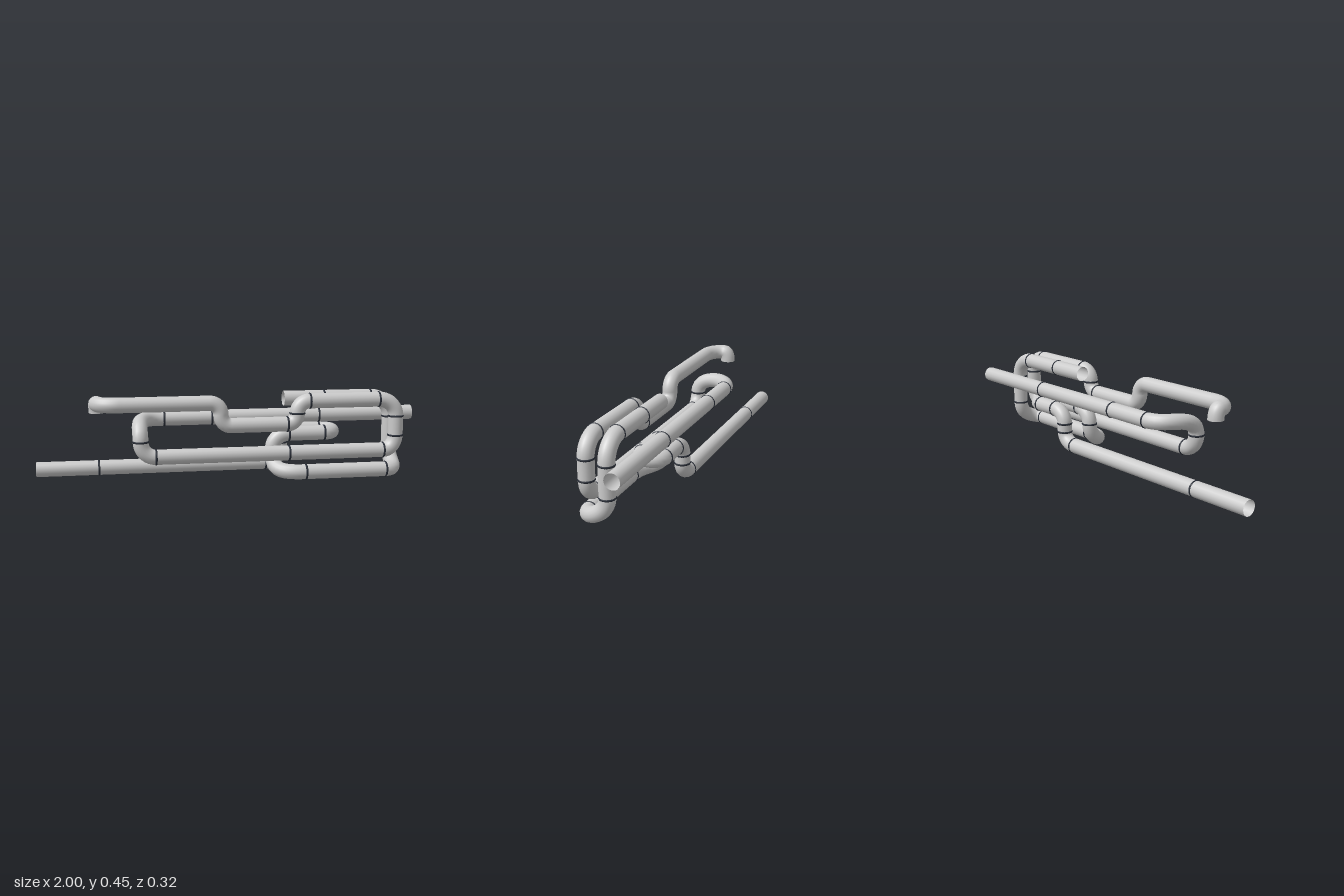
import * as THREE from 'three';

const R = 0.039;
const V = (p) => new THREE.Vector3(...p);

export function createModel() {
  const group = new THREE.Group();
  const pipeMat = new THREE.MeshStandardMaterial({ color: 0xcccccc, side: THREE.DoubleSide });
  const ringMat = new THREE.MeshStandardMaterial({ color: 0x2b303a });
  const ringGeo = new THREE.TorusGeometry(0.036, 0.006, 6, 20);

  // Joint ring around a pipe, facing along a direction
  function ring(parent, p, dir) {
    const m = new THREE.Mesh(ringGeo, ringMat);
    m.name = 'jointRing';
    m.position.copy(p);
    m.quaternion.setFromUnitVectors(new THREE.Vector3(0, 0, 1), dir.clone().normalize());
    parent.add(m);
  }

  function tube(parent, name, curve, segments) {
    const m = new THREE.Mesh(new THREE.TubeGeometry(curve, segments, R, 16, false), pipeMat);
    m.name = name;
    parent.add(m);
  }

  // A run is a chain of steps: { to } is straight, { to, corner } a quarter bend,
  // { to, c1, c2 } a free bend. ring: true puts a joint ring at the end of the step.
  function run(name, start, steps) {
    const g = new THREE.Group();
    g.name = name;
    let from = V(start);
    for (const s of steps) {
      const to = V(s.to);
      let curve;
      if (s.corner) {
        const c = V(s.corner);
        curve = new THREE.CubicBezierCurve3(from, from.clone().lerp(c, 0.56), to.clone().lerp(c, 0.56), to);
      } else if (s.c1) {
        curve = new THREE.CubicBezierCurve3(from, V(s.c1), V(s.c2), to);
      } else {
        curve = new THREE.LineCurve3(from, to);
      }
      const bend = s.corner || s.c1;
      tube(g, bend ? 'pipeBend' : 'straightPipe', curve, bend ? 16 : 1);
      if (s.ring) ring(g, to, curve.getTangent(1));
      from = to;
    }
    group.add(g);
  }

  // Front run: back pipe, around the left end, through the front loop, up to the spout
  const zb = -0.104, zf = 0.1, xr = 0.846, xl = -0.476;
  run('frontPipeRun', [1, 0.302, zb], [
    { to: [0.485, 0.302, zb], ring: true },
    { to: [-0.09, 0.302, zb], ring: true },
    { to: [-0.34, 0.302, zb], ring: true },
    { to: [xl, 0.22, zf], c1: [-0.5, 0.302, zb], c2: [xl, 0.33, zf], ring: true },
    { to: [-0.4, 0.14, zf], corner: [xl, 0.14, zf], ring: true },
    { to: [0.28, 0.14, zf], ring: true },
    { to: [0.78, 0.14, zf], ring: true },
    { to: [xr, 0.217, zf], corner: [xr, 0.14, zf], ring: true },
    { to: [xr, 0.318, zf], ring: true },
    { to: [0.75, 0.406, zf], corner: [xr, 0.406, zf], ring: true },
    { to: [0.386, 0.406, zf], ring: true },
    { to: [0.322, 0.345, zf], corner: [0.322, 0.406, zf], ring: true },
    { to: [0.27, 0.29, zf], corner: [0.322, 0.29, zf], ring: true },
    { to: [-0.02, 0.29, zf] },
    { to: [-0.072, 0.348, zf], corner: [-0.072, 0.29, zf] },
    { to: [-0.13, 0.406, zf], corner: [-0.072, 0.406, zf] },
    { to: [-0.58, 0.406, zf] },
    { to: [-0.688, 0.406, 0.02], corner: [-0.688, 0.406, zf] },
    { to: [-0.688, 0.357, 0], corner: [-0.688, 0.406, 0] },
  ]);

  // Rear run: middle loop, down and forward, back through the U-turn to the low pipe
  const zr = -0.117, zl = 0.12, xa = 0.215, xd = 0.28;
  run('rearPipeRun', [0.27, 0.408, 0], [
    { to: [0.485, 0.408, 0], ring: true },
    { to: [0.735, 0.408, 0], ring: true },
    { to: [xr, 0.302, 0], corner: [xr, 0.408, 0], ring: true },
    { to: [xr, 0.147, 0], ring: true },
    { to: [0.79, 0.042, zl], c1: [xr, 0.05, 0], c2: [0.87, 0.042, zl], ring: true },
    { to: [0.365, 0.042, zl], ring: true },
    { to: [xa, 0.147, 0], c1: [0.2, 0.042, zl], c2: [xa, 0.04, 0], ring: true },
    { to: [0.3, 0.222, 0], corner: [xa, 0.222, 0], ring: true },
    { to: [0.49, 0.222, 0], ring: true },
    { to: [0.49, 0.222, zr], c1: [0.565, 0.222, 0], c2: [0.565, 0.222, zr], ring: true },
    { to: [0.36, 0.222, zr], ring: true },
    { to: [xd, 0.157, zr], corner: [xd, 0.222, zr], ring: true },
    { to: [xd, 0.112, zr], ring: true },
    { to: [0.2, 0.05, zr], corner: [xd, 0.05, zr], ring: true },
    { to: [-0.68, 0.05, zr], ring: true },
    { to: [-1, 0.05, zr] },
  ]);

  return group;
}
